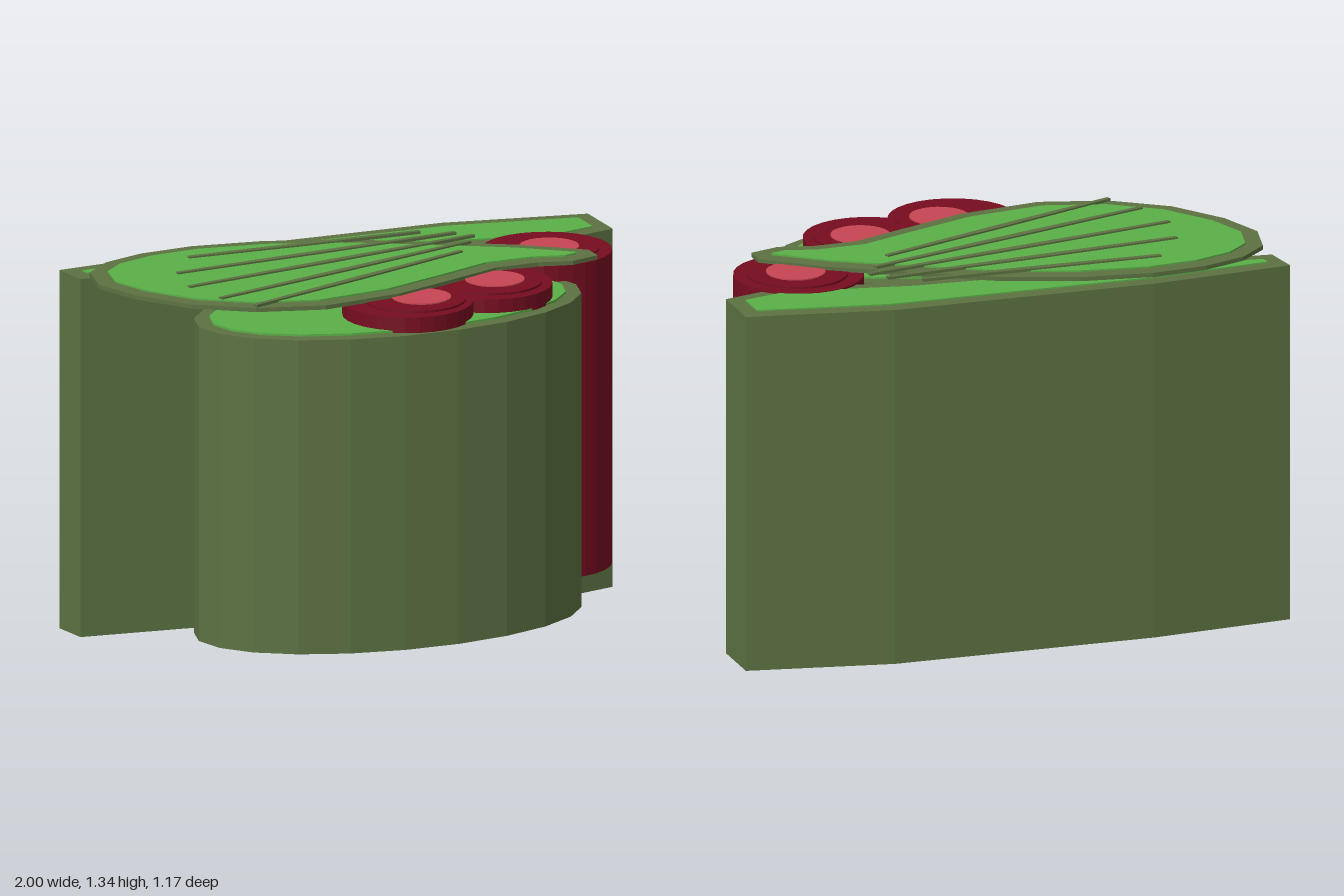
import * as THREE from 'three';

const paint = (name, color) => Object.assign(new THREE.MeshStandardMaterial({ color }), { name });

// Ring of [x, z] points around an ellipse
function ellipse(cx, cz, rx, rz, sides) {
  return Array.from({ length: sides }, (_, i) => {
    const a = (i / sides) * Math.PI * 2;
    return [cx + rx * Math.cos(a), cz + rz * Math.sin(a)];
  });
}

// Move every edge of an outline inwards by d, with mitred corners
function inset(pts, d) {
  const n = pts.length;
  let area = 0;
  pts.forEach(([x, z], i) => {
    const [u, w] = pts[(i + 1) % n];
    area += x * w - u * z;
  });
  const s = Math.sign(area);
  const normal = (a, b) => {
    const dx = b[0] - a[0], dz = b[1] - a[1], l = Math.hypot(dx, dz);
    return [(-dz / l) * s, (dx / l) * s];
  };
  return pts.map((p, i) => {
    const a = normal(pts[(i + n - 1) % n], p);
    const b = normal(p, pts[(i + 1) % n]);
    const k = d / (1 + a[0] * b[0] + a[1] * b[1]);
    return [p[0] + (a[0] + b[0]) * k, p[1] + (a[1] + b[1]) * k];
  });
}

export function createModel() {
  const model = new THREE.Group();
  const olive = paint('olive', 0x5c7242);
  const green = paint('leafGreen', 0x5bb048);
  const red = paint('darkRed', 0x760d20);
  const pink = paint('pink', 0xc74653);

  // Upright prism over an [x, z] outline, from y0 to y1
  function prism(name, pts, y0, y1, material) {
    const shape = new THREE.Shape(pts.map(([x, z]) => new THREE.Vector2(x, -z)));
    const geo = new THREE.ExtrudeGeometry(shape, { depth: y1 - y0, bevelEnabled: false });
    geo.rotateX(-Math.PI / 2).translate(0, y0, 0);
    const mesh = new THREE.Mesh(geo, material);
    mesh.name = name;
    model.add(mesh);
  }

  // Rear slab with its green top
  const slab = [
    [-1, -0.54], [-0.48, -0.59], [0.48, -0.59], [1, -0.5], [1, -0.28],
    [0.78, -0.22], [0.32, -0.3], [-0.4, -0.34], [-0.98, -0.4],
  ];
  prism('rearSlab', slab, 0, 1.3, olive);
  prism('rearSlabTop', inset(slab, 0.058), 1.3, 1.305, green);

  // Oval front block with its green top
  prism('frontBlock', ellipse(-0.06, 0.185, 0.72, 0.4, 22), 0.11, 1.25, olive);
  prism('frontBlockTop', ellipse(-0.06, 0.185, 0.665, 0.347, 22), 1.25, 1.258, green);

  // Berries: [x, z, bottom, pink x, pink z]
  const berries = [
    [-0.05, 0.34, 1.2, 0, 0.345],
    [0.3, 0.23, 1.2, 0.33, 0.23],
    [0.67, -0.1, 0.17, 0.68, -0.1],
  ];
  for (const [x, z, y0, px, pz] of berries) {
    prism('berry', ellipse(x, z, 0.23, 0.23, 28), y0, 1.307, red);
    prism('berryRim', ellipse((x + px) / 2, (z + pz) / 2, 0.18, 0.18, 28), 1.307, 1.315, red);
    prism('berryCentre', ellipse(px, pz, 0.105, 0.105, 24), 1.315, 1.319, pink);
  }

  // Leaf lying across the top: olive rim, green face
  const leaf = [
    [-0.49, -0.555], [-0.235, -0.52], [0.03, -0.43], [0.3, -0.28], [0.57, -0.12],
    [0.77, 0.04], [0.77, 0.12], [0.66, 0.155], [0.54, 0.125], [0.38, 0.13],
    [0.19, 0.21], [-0.07, 0.315], [-0.37, 0.36], [-0.61, 0.295], [-0.8, 0.16],
    [-0.93, -0.03], [-0.99, -0.21], [-0.955, -0.375], [-0.85, -0.475], [-0.69, -0.535],
  ];
  prism('leafRim', leaf, 1.313, 1.328, olive);
  prism('leafFace', inset(leaf, 0.06), 1.328, 1.334, green);

  // Leaf veins: [x0, z0, x1, z1]
  const veins = [
    [-0.57, -0.395, 0.31, -0.39], [-0.69, -0.215, 0.42, -0.33], [-0.725, -0.03, 0.465, -0.27],
    [-0.685, 0.155, 0.42, -0.2], [-0.61, 0.29, 0.34, -0.09],
  ];
  for (const [x0, z0, x1, z1] of veins) {
    const l = Math.hypot(x1 - x0, z1 - z0);
    const nx = -(z1 - z0) / l, nz = (x1 - x0) / l;
    const xm = (x0 + x1) / 2, zm = (z0 + z1) / 2;
    const side = (s) => [[x0, z0, 0.009], [xm, zm, 0.014], [x1, z1, 0.009]]
      .map(([x, z, w]) => [x + nx * w * s, z + nz * w * s]);
    prism('leafVein', [...side(1), ...side(-1).reverse()], 1.33, 1.34, olive);
  }
  return model;
}
